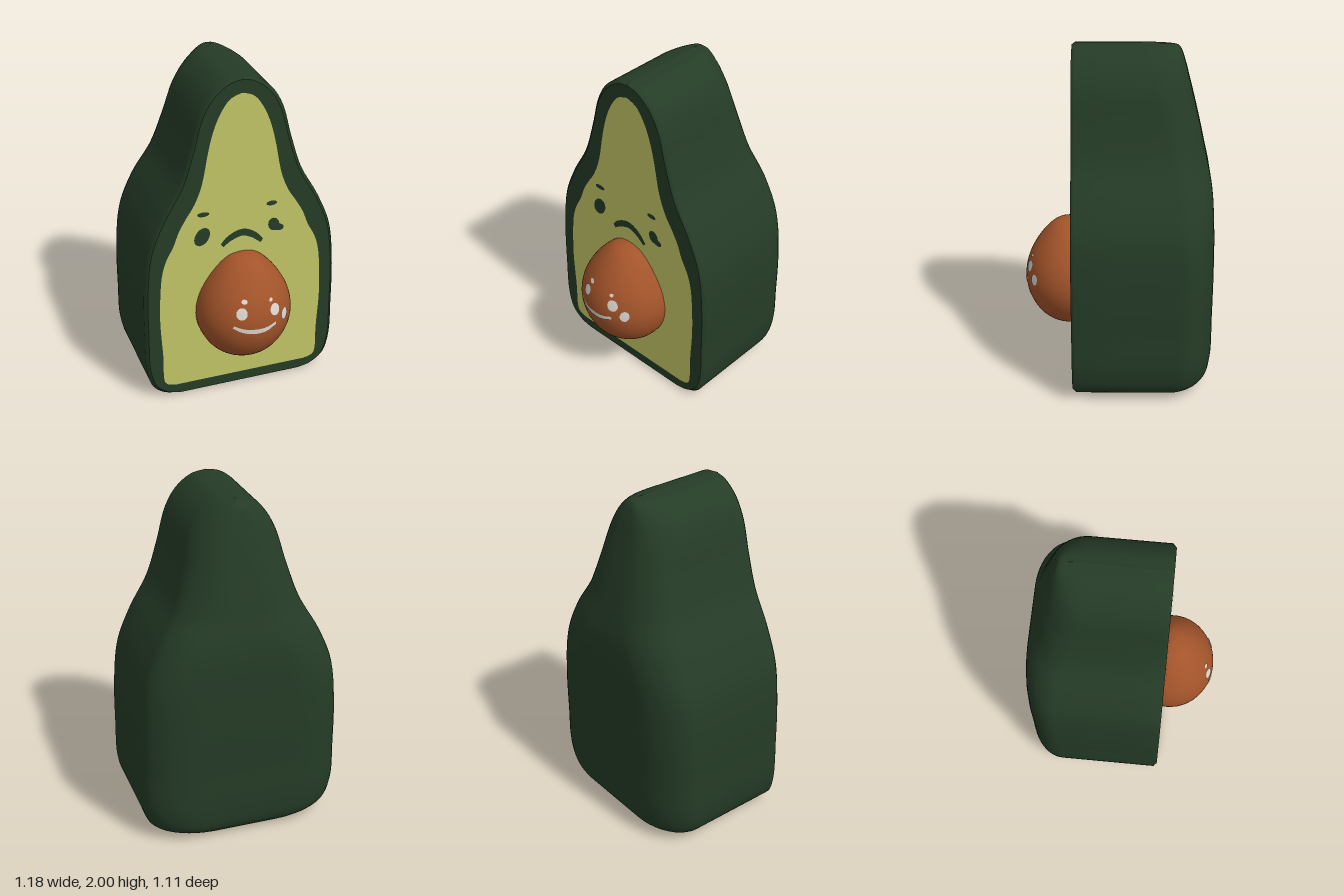
import * as THREE from 'three';

const V3 = (a) => new THREE.Vector3(...a);
const V2 = (a) => new THREE.Vector2(...a);
const FRONT = 0.26;

function material(name, color, side = THREE.FrontSide) {
  const m = new THREE.MeshStandardMaterial({ color, side });
  m.name = name;
  return m;
}

// Closed flat shape from right-hand points, mirrored to the left
function mirroredShape(points) {
  const left = points.map((p) => new THREE.Vector2(-p.x, p.y)).reverse();
  return new THREE.ShapeGeometry(new THREE.Shape([...points, ...left]));
}

// Skin: stations up the body as [half width, height, back depth]
const stations = new THREE.CatmullRomCurve3([
  [0.40, 0, -0.42], [0.48, 0.02, -0.48], [0.55, 0.08, -0.53], [0.585, 0.2, -0.55],
  [0.59, 0.45, -0.553], [0.585, 0.75, -0.555], [0.555, 1, -0.552], [0.475, 1.2, -0.54],
  [0.365, 1.4, -0.5], [0.30, 1.6, -0.455], [0.245, 1.8, -0.405], [0.18, 1.91, -0.375],
  [0.09, 1.98, -0.345], [0, 2, -0.29],
].map(V3)).getPoints(104);

const frontY = (y) => 1 + (y - 1) * 0.99;
const frontX = (w) => w - Math.min(0.02, w);

// Half of a horizontal section, from the front edge round to the back middle
function halfSection({ x: w, y, z: back }) {
  const rx = Math.min(0.3, w * 0.8), rz = 0.2;
  const pts = [[frontX(w), frontY(y), FRONT], [w, y, 0.24], [w, y, 0.05], [w, y, -0.04]];
  for (let i = 0; i <= 10; i++) {
    const a = (i / 10) * Math.PI / 2;
    pts.push([w - rx + rx * Math.cos(a), y, back + rz - rz * Math.sin(a)]);
  }
  pts.push([0, y, back]);
  return pts;
}

function skinGeometry() {
  const rows = stations.map((s) => {
    const half = halfSection(s);
    return [...half, ...half.slice(0, -1).reverse().map(([x, y, z]) => [-x, y, z])];
  });
  const n = rows[0].length, index = [];
  for (let i = 0; i < rows.length - 1; i++) {
    for (let j = 0; j < n - 1; j++) {
      const a = i * n + j, d = a + n;
      index.push(a, a + 1, d + 1, a, d + 1, d);
    }
  }
  // Underside fan
  const centre = rows.length * n;
  for (let j = 0; j < n; j++) index.push(centre, (j + 1) % n, j);
  const geo = new THREE.BufferGeometry();
  geo.setAttribute('position', new THREE.Float32BufferAttribute([...rows.flat(2), 0, 0, -0.08], 3));
  geo.setIndex(index);
  geo.computeVertexNormals();
  return geo;
}

// Pit: egg profile turned on a lathe and flattened in depth
const PIT_Z = 0.29, PIT_DEPTH = 0.93;
const pitProfile = new THREE.SplineCurve([
  [0, 0.265], [0.11, 0.288], [0.2, 0.35], [0.262, 0.45], [0.285, 0.56], [0.268, 0.67],
  [0.22, 0.77], [0.15, 0.86], [0.08, 0.915], [0, 0.932],
].map(V2)).getPoints(36);

function pitSurface(x, y) {
  const i = Math.max(1, pitProfile.findIndex((p) => p.y >= y));
  const a = pitProfile[i - 1], b = pitProfile[i];
  const r = THREE.MathUtils.mapLinear(y, a.y, b.y, a.x, b.x);
  return PIT_Z + PIT_DEPTH * Math.sqrt(Math.max(0, r * r - x * x));
}

// Painted marks, laid on a surface z = f(x, y)
function lay(geo, surface) {
  const p = geo.attributes.position;
  for (let i = 0; i < p.count; i++) p.setZ(i, surface(p.getX(i), p.getY(i)) + 0.005);
  geo.computeVertexNormals();
  return geo;
}

function spot(x, y, rx, ry, tilt = 0) {
  return new THREE.CircleGeometry(1, 20).scale(rx, ry, 1).rotateZ(tilt).translate(x, y, 0);
}

function stroke(points, width) {
  const curve = new THREE.SplineCurve(points.map(V2));
  const geo = new THREE.PlaneGeometry(1, 1, 24, 1), p = geo.attributes.position;
  for (let i = 0; i < p.count; i++) {
    const t = THREE.MathUtils.clamp(p.getX(i) + 0.5, 0, 1);
    const c = curve.getPoint(t), d = curve.getTangent(t);
    const k = p.getY(i) * width * (0.55 + 0.45 * Math.sin(Math.PI * t));
    p.setXY(i, c.x - d.y * k, c.y + d.x * k);
  }
  return geo;
}

export function createModel() {
  const model = new THREE.Group();
  model.name = 'avocadoHalf';
  const skin = material('dark green skin', 0x253c27, THREE.DoubleSide);
  const flesh = material('yellow green flesh', 0xc3c567);
  const brown = material('brown pit', 0xa3542a);
  const white = material('pale face paint', 0xdcd6ce);

  const add = (name, geo, mat, parent = model) => {
    const mesh = new THREE.Mesh(geo, mat);
    mesh.name = name;
    parent.add(mesh);
    return mesh;
  };

  add('skin', skinGeometry(), skin);
  const rim = stations.map((s) => new THREE.Vector2(frontX(s.x), frontY(s.y)));
  add('frontRim', mirroredShape(rim), skin).position.z = FRONT;

  // Flesh face
  const fleshEdge = new THREE.SplineCurve([
    [0.41, 0.075], [0.465, 0.09], [0.487, 0.14], [0.488, 0.3], [0.5, 0.55], [0.488, 0.8],
    [0.46, 0.93], [0.41, 1.03], [0.375, 1.12], [0.33, 1.2], [0.28, 1.28], [0.235, 1.4],
    [0.2, 1.58], [0.17, 1.7], [0.13, 1.8], [0.075, 1.88], [0.01, 1.91],
  ].map(V2)).getPoints(64);
  add('flesh', mirroredShape(fleshEdge), flesh).position.z = FRONT + 0.003;

  // Sad face on the flesh
  const sadFace = new THREE.Group();
  sadFace.name = 'sadFace';
  model.add(sadFace);
  const flat = () => FRONT + 0.002;
  [
    ['rightEye', spot(-0.24, 1.065, 0.043, 0.06, -0.5)],
    ['leftEye', spot(0.195, 1.07, 0.034, 0.042, 0.3)],
    ['leftEyeCorner', spot(0.225, 1.045, 0.032, 0.022, -0.2)],
    ['rightBrow', spot(-0.232, 1.208, 0.036, 0.015)],
    ['leftBrow', spot(0.18, 1.21, 0.032, 0.015)],
    ['frown', stroke([[-0.12, 0.985], [-0.075, 1.025], [0, 1.052], [0.07, 1.025], [0.122, 0.975]], 0.045)],
  ].forEach(([name, geo]) => add(name, lay(geo, flat), skin, sadFace));

  // Pit
  const pitGeo = new THREE.LatheGeometry(pitProfile, 48).scale(1, 1, PIT_DEPTH);
  add('pit', pitGeo, brown).position.z = PIT_Z;

  // Happy face on the pit
  const happyFace = new THREE.Group();
  happyFace.name = 'happyFace';
  model.add(happyFace);
  [
    ['rightEye', spot(-0.092, 0.672, 0.03, 0.036, -0.4)],
    ['leftEye', spot(0.11, 0.662, 0.03, 0.036, 0.4)],
    ['rightBrow', spot(-0.07, 0.738, 0.017, 0.013)],
    ['leftBrow', spot(0.09, 0.722, 0.012, 0.01)],
    ['cheek', spot(0.18, 0.602, 0.023, 0.035)],
    ['smile', stroke([[-0.142, 0.592], [-0.08, 0.567], [0, 0.557], [0.06, 0.562], [0.112, 0.58]], 0.03)],
  ].forEach(([name, geo]) => add(name, lay(geo, pitSurface), white, happyFace));

  return model;
}
